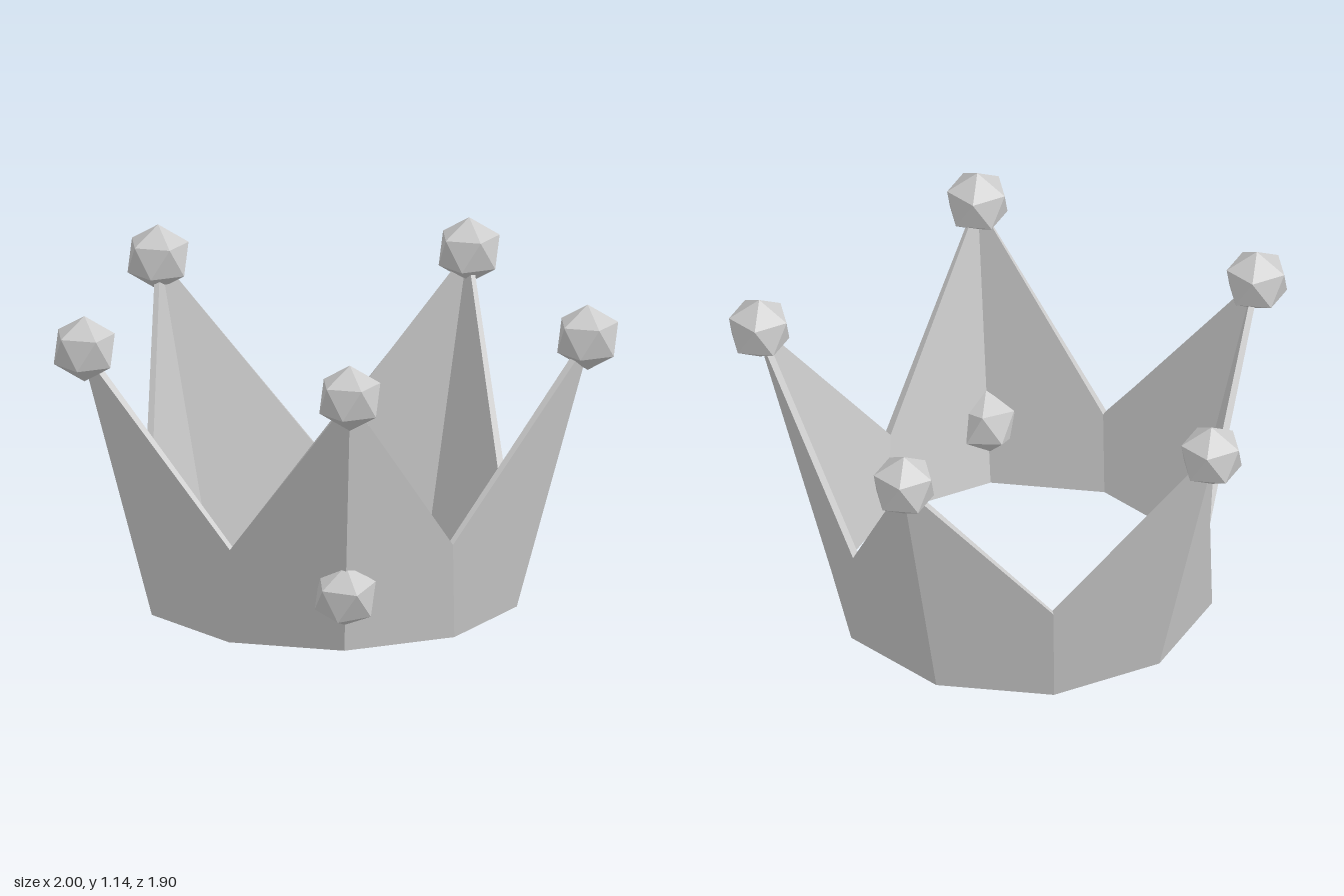
import * as THREE from 'three';

const CENTER_Z = -0.087;
const SIDES = 10;
const grey = () => new THREE.MeshStandardMaterial({ color: 0xcccccc });

// Ring corner k: even corners are spikes, odd corners are valleys
function corner(k, radius, y) {
  const a = (k * Math.PI * 2) / SIDES;
  return new THREE.Vector3(Math.sin(a) * radius, y, CENTER_Z + Math.cos(a) * radius);
}

// Ten-sided band with five flaring spikes and a thin wall
function bandGeometry() {
  const positions = [];
  const normals = [];
  // One flat-lit quad, split along a-c
  const quad = (a, b, c, d) => {
    const n = c.clone().sub(a).cross(d.clone().sub(b)).normalize();
    for (const p of [a, b, c, a, c, d]) {
      positions.push(p.x, p.y, p.z);
      normals.push(n.x, n.y, n.z);
    }
  };
  const column = (k) => {
    const spike = k % 2 === 0;
    return {
      ob: corner(k, 0.68, 0),
      ib: corner(k, 0.658, 0),
      ot: spike ? corner(k, 0.952, 1.02) : corner(k, 0.673, 0.34),
      it: spike ? corner(k, 0.926, 1.02) : corner(k, 0.648, 0.34),
    };
  };
  for (let k = 0; k < SIDES; k++) {
    const p = column(k);
    const q = column(k + 1);
    // Each panel folds from the spike's foot to the valley
    if (k % 2 === 0) {
      quad(p.ob, q.ob, q.ot, p.ot);
      quad(p.ib, p.it, q.it, q.ib);
    } else {
      quad(q.ob, q.ot, p.ot, p.ob);
      quad(q.ib, p.ib, p.it, q.it);
    }
    quad(p.ot, q.ot, q.it, p.it); // top rim
    quad(p.ob, p.ib, q.ib, q.ob); // bottom rim
  }
  const g = new THREE.BufferGeometry();
  g.setAttribute('position', new THREE.Float32BufferAttribute(positions, 3));
  g.setAttribute('normal', new THREE.Float32BufferAttribute(normals, 3));
  return g;
}

// Icosahedron standing on a corner
function jewelGeometry(radius) {
  const g = new THREE.IcosahedronGeometry(radius, 0);
  g.rotateZ(-Math.atan(2 / (1 + Math.sqrt(5))));
  g.computeVertexNormals();
  return g;
}

export function createModel() {
  const crown = new THREE.Group();
  crown.name = 'crown';
  const material = grey();
  material.flatShading = true;

  const band = new THREE.Mesh(bandGeometry(), grey());
  band.name = 'band';
  crown.add(band);

  // Jewel on every spike tip
  const jewel = jewelGeometry(0.121);
  for (let k = 0; k < SIDES; k += 2) {
    const tip = new THREE.Mesh(jewel, material);
    tip.name = 'tipJewel' + (k / 2 + 1);
    tip.position.copy(corner(k, 0.938, 1.018));
    crown.add(tip);
  }

  // Jewel set through the front of the band, leaning with the spike
  const front = new THREE.Mesh(jewelGeometry(0.12), material);
  front.name = 'frontJewel';
  front.position.set(0, 0.22, 0.638);
  front.rotation.x = 0.21;
  crown.add(front);

  return crown;
}
